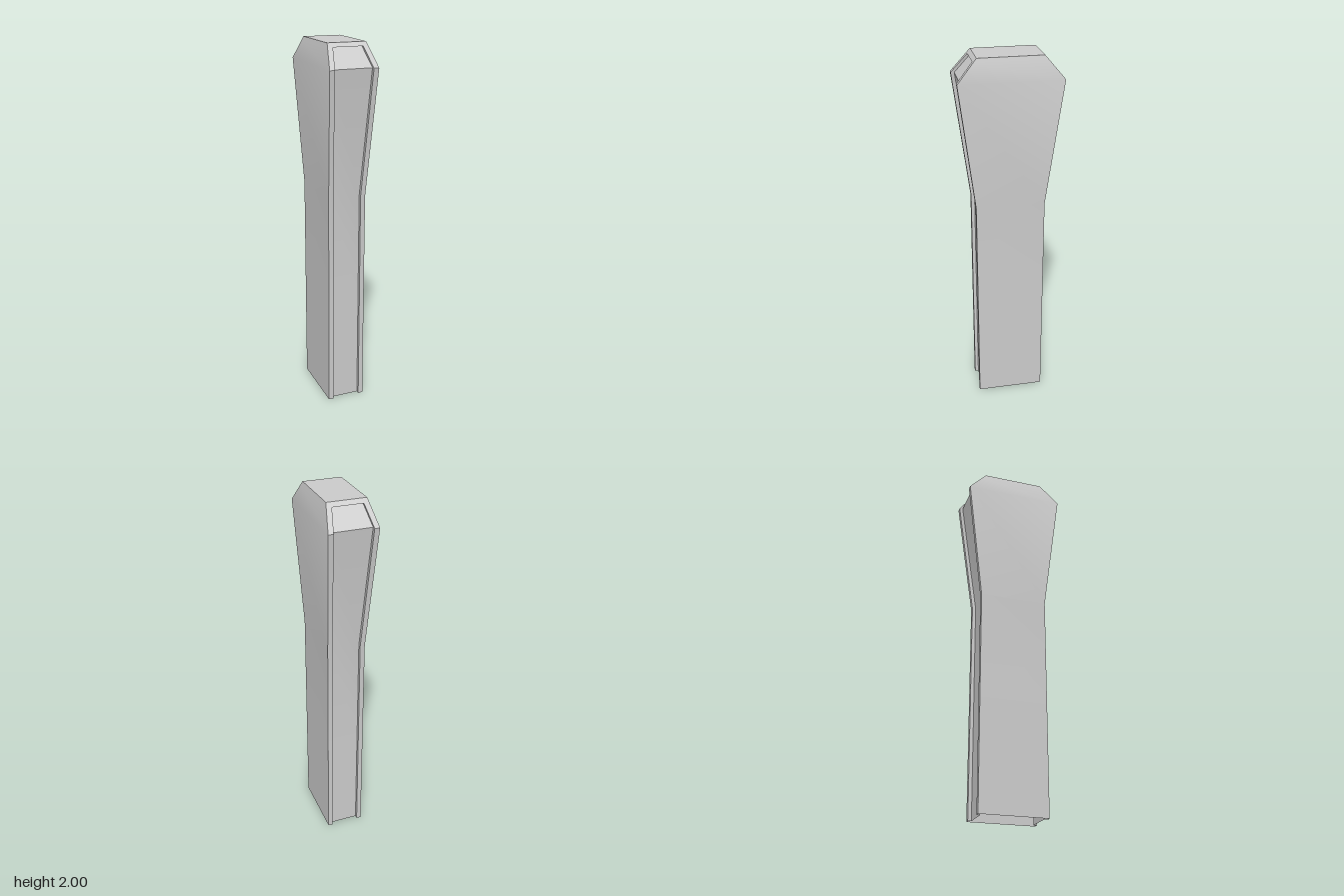
import * as THREE from 'three';
import { toCreasedNormals } from 'three/addons/utils/BufferGeometryUtils.js';

// Each level: height, half width, half depth, channel half width, channel inset
const LEVELS = [
  [0, 0.104, 0.185, 0.078, 0.019],
  [0.6, 0.104, 0.185, 0.078, 0.019],
  [1.2, 0.104, 0.185, 0.078, 0.019],
  [1.88, 0.131, 0.272, 0.103, 0.019],
  [1.979, 0.109, 0.188, 0.081, 0.019], // underside of the channel's top lip
  [1.979, 0.109, 0.188, 0.081, 0],
  [2, 0.104, 0.17, 0.077, 0],
];

// Cross-section: a rectangle with a shallow channel in its front and back
function section([y, w, d, c, inset]) {
  const half = [[w, d], [c, d], [c, d - inset], [-c, d - inset], [-c, d], [-w, d]];
  return [...half, ...half.map(([x, z]) => [-x, -z])].map(([x, z]) => new THREE.Vector3(x, y, z));
}

// Skin the sections, skipping faces that collapse to a line
function loft(sections) {
  const positions = [];
  const face = (a, b, c) => {
    if (new THREE.Triangle(a, b, c).getArea() < 1e-7) return;
    for (const p of [a, b, c]) positions.push(p.x, p.y, p.z);
  };
  for (let k = 0; k < sections.length - 1; k++) {
    const low = sections[k], high = sections[k + 1], n = low.length;
    for (let i = 0; i < n; i++) {
      const j = (i + 1) % n;
      face(low[i], high[i], high[j]);
      face(low[i], high[j], low[j]);
    }
  }
  // Flat top; the foot stays open
  const top = sections[sections.length - 1];
  face(top[0], top[11], top[6]);
  face(top[0], top[6], top[5]);

  const geometry = new THREE.BufferGeometry();
  geometry.setAttribute('position', new THREE.Float32BufferAttribute(positions, 3));
  return toCreasedNormals(geometry, 0.5);
}

export function createModel() {
  const grey = new THREE.MeshStandardMaterial({ color: 0xcccccc, side: THREE.DoubleSide });
  grey.name = 'grey';

  // Hollow pillar with a flared, bevelled head
  const pillar = new THREE.Mesh(loft(LEVELS.map(section)), grey);
  pillar.name = 'pillarShell';

  const model = new THREE.Group();
  model.name = 'pillar';
  model.add(pillar);
  return model;
}
